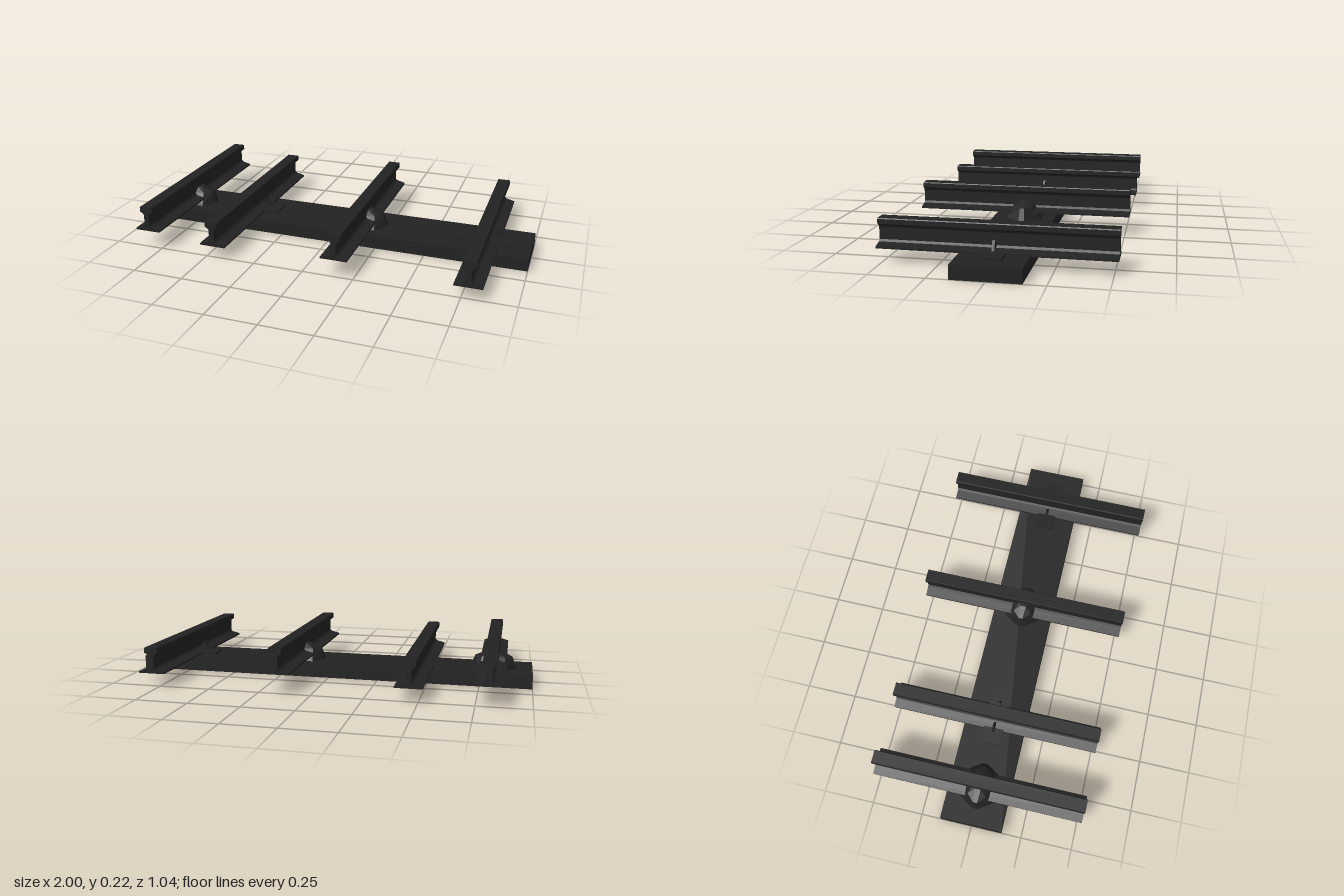
import * as THREE from 'three';
import { ConvexGeometry } from 'three/addons/geometries/ConvexGeometry.js';

export function createModel() {
  const model = new THREE.Group();
  model.name = 'railTrackSection';
  const darkIron = new THREE.MeshStandardMaterial({ color: 0x222222, flatShading: true });
  darkIron.name = 'darkIron';

  function add(name, geometry, x = 0, y = 0, z = 0, parent = model) {
    const mesh = new THREE.Mesh(geometry, darkIron);
    mesh.name = name;
    mesh.position.set(x, y, z);
    parent.add(mesh);
    return mesh;
  }

  // Extrude a closed outline along z, centred
  function prism(points, depth) {
    const shape = new THREE.Shape(points.map(([x, y]) => new THREE.Vector2(x, y)));
    const g = new THREE.ExtrudeGeometry(shape, { depth, bevelEnabled: false });
    return g.translate(0, 0, -depth / 2);
  }

  // Sleeper
  add('sleeper', new THREE.BoxGeometry(2, 0.065, 0.304), 0, 0.0325, 0);

  // Rail section: foot, web and head
  const half = [[0.065, 0], [0.065, 0.008], [0.022, 0.019], [0.013, 0.028],
    [0.013, 0.083], [0.018, 0.092], [0.032, 0.1], [0.032, 0.122], [0.029, 0.126]];
  const railGeometry = prism([...half, ...half.map(([x, y]) => [-x, y]).reverse()], 1.04);

  // Faceted jaw holding one side of a raised rail
  function jawGeometry(side) {
    const rows = [
      [0.01, 0.065, 0.085], [0.065, 0.065, 0.085], [0.112, 0.065, 0.014],
      [0.01, 0.125, 0.055], [0.055, 0.125, 0.045], [0.09, 0.122, 0.01],
      [0.01, 0.148, 0.025], [0.03, 0.148, 0.014],
    ];
    const points = rows.flatMap(([x, y, z]) =>
      [-z, z].map((d) => new THREE.Vector3(side * x, y, d)));
    return new ConvexGeometry(points);
  }

  // Small triangular clip beside a low rail
  const clipGeometry = (side) => {
    const pts = [[0.032, 0.097], [0.082, 0.086], [0.062, 0.13]].map(([x, y]) => [side * x, y]);
    return prism(side > 0 ? pts : pts.reverse(), 0.012);
  };

  function addTrack(name, x, raised) {
    const track = new THREE.Group();
    track.name = name;
    track.position.x = x;
    model.add(track);
    add('rail', railGeometry, 0, raised ? 0.095 : 0.066, 0, track);
    if (!raised) add('basePlate', new THREE.BoxGeometry(0.276, 0.01, 0.1), 0, 0.071, 0, track);
    for (const side of [-1, 1]) {
      if (raised) add('chairJaw', jawGeometry(side), 0, 0, 0, track);
      else add('railClip', clipGeometry(side), 0, 0, 0, track);
    }
  }

  // Raised conductor rails and low running rails
  addTrack('outerConductorRail', -0.81, true);
  addTrack('rightRunningRail', -0.457, false);
  addTrack('centreConductorRail', 0.162, true);
  addTrack('leftRunningRail', 0.782, false);
  return model;
}
